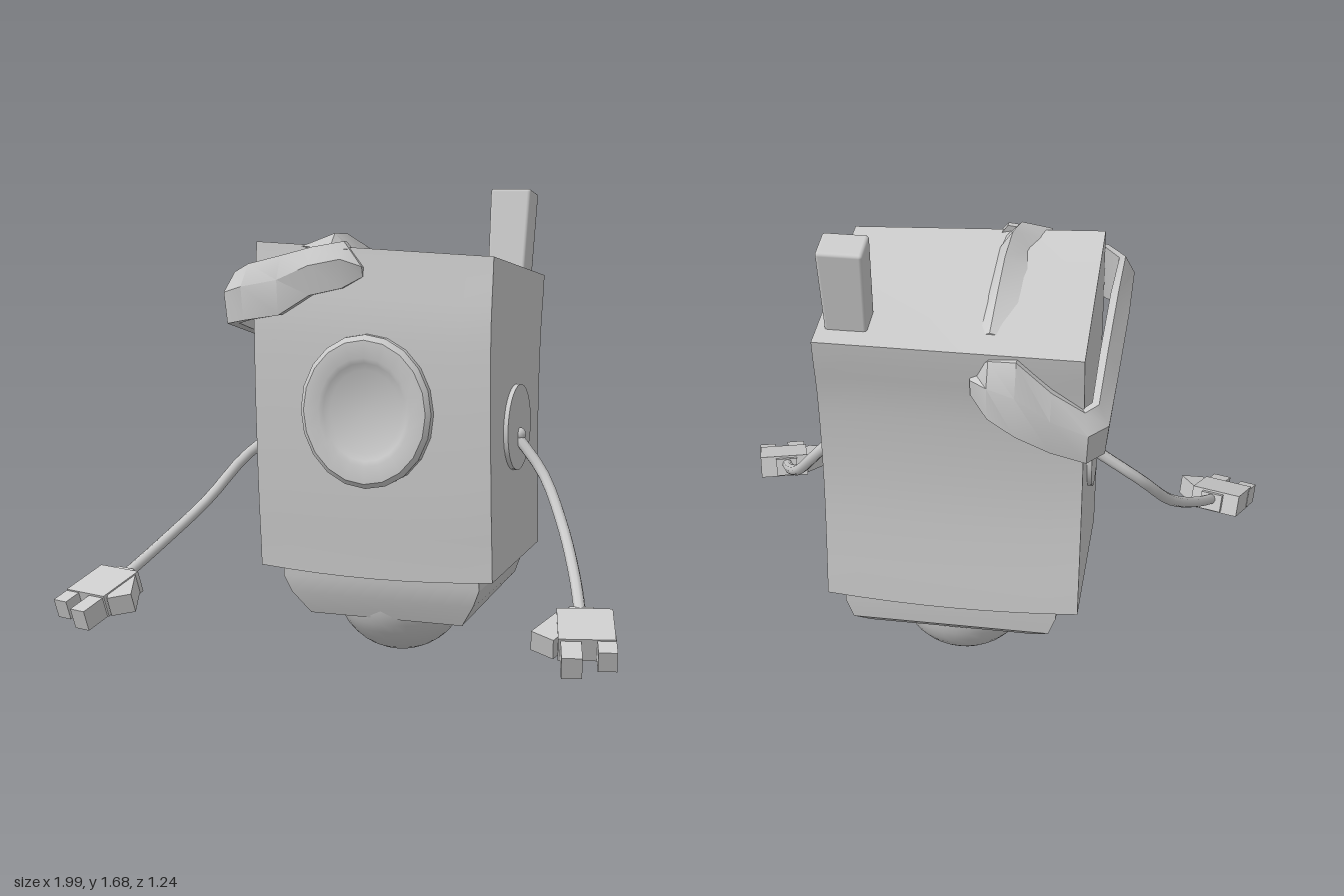
import * as THREE from 'three';
import { toCreasedNormals } from 'three/addons/utils/BufferGeometryUtils.js';
import { RoundedBoxGeometry } from 'three/addons/geometries/RoundedBoxGeometry.js';

const CX = 0.03; // middle of the body
const grey = new THREE.MeshStandardMaterial({ color: 0xcccccc });
const greyDouble = new THREE.MeshStandardMaterial({ color: 0xcccccc, side: THREE.DoubleSide });

function add(parent, name, geometry, position = [0, 0, 0], material = grey) {
  const mesh = new THREE.Mesh(geometry, material);
  mesh.name = name;
  mesh.position.set(...position);
  parent.add(mesh);
  return mesh;
}

// Skin a row of equal-sized point rings and cap both ends
function loft(rings, crease) {
  const n = rings[0].length, index = [];
  for (let i = 0; i < rings.length - 1; i++) {
    for (let j = 0; j < n; j++) {
      const a = i * n + j, b = i * n + (j + 1) % n;
      index.push(a, a + n, b, b, a + n, b + n);
    }
  }
  const last = (rings.length - 1) * n;
  for (let j = 1; j < n - 1; j++) index.push(0, j, j + 1, last, last + j + 1, last + j);
  const g = new THREE.BufferGeometry();
  g.setAttribute('position', new THREE.Float32BufferAttribute(rings.flat(2), 3));
  g.setIndex(index);
  return toCreasedNormals(g, crease);
}

// Height of the sloping lid
function topY(x, z) {
  const t = (z + 0.57) / 0.675;
  return THREE.MathUtils.lerp(1.36, 1.475 - 0.047 * (x - CX), t);
}

// Box whose front bulges and back curves inward
function bodyGeometry() {
  const curve = (zs) => new THREE.SplineCurve(zs.map((z, i) => new THREE.Vector2(i, z)));
  const front = curve([0.085, 0.105, 0.12, 0.13, 0.13, 0.105]);
  const back = curve([-0.53, -0.515, -0.505, -0.51, -0.53, -0.57]);
  const g = new THREE.BoxGeometry(0.86, 1, 1, 8, 15, 4);
  const p = g.attributes.position;
  for (let i = 0; i < p.count; i++) {
    const t = p.getY(i) + 0.5, x = p.getX(i) + CX, w = p.getZ(i) + 0.5;
    const z = THREE.MathUtils.lerp(back.getPoint(t).y, front.getPoint(t).y, w);
    const sag = 0.02 * (1 - (p.getX(i) / 0.43) ** 2);
    const bottom = THREE.MathUtils.lerp(0.365, 0.34, w) - sag;
    const top = topY(x, THREE.MathUtils.lerp(-0.57, 0.105, w));
    p.setXYZ(i, x, THREE.MathUtils.lerp(bottom, top, t), z);
  }
  g.computeVertexNormals();
  return g;
}

// Tapered skirt: front height, back height, x range, z range
function baseGeometry() {
  const rows = [
    [0.37, 0.39, -0.325, 0.405, 0.065, -0.505],
    [0.30, 0.32, -0.325, 0.405, 0.06, -0.505],
    [0.24, 0.25, -0.30, 0.38, 0.045, -0.50],
    [0.16, 0.215, -0.24, 0.33, 0.01, -0.465],
  ];
  return loft(rows.map(([yf, yb, x0, x1, zf, zb]) =>
    [[x1, yf, zf], [x1, yb, zb], [x0, yb, zb], [x0, yf, zf]]), 0.3);
}

// Cloth band around one upper corner: x, z, outward x, outward z, top, bottom
function bandGeometry() {
  const rows = [
    [0, 0.13, 0, 1, 1.41, 1.38],
    [-0.07, 0.155, 0, 1, 1.50, 1.34],
    [-0.18, 0.175, 0, 1, 1.48, 1.315],
    [-0.29, 0.19, 0, 1, 1.45, 1.245],
    [-0.42, 0.20, -0.3, 1, 1.42, 1.225],
    [-0.50, 0.165, -0.8, 0.6, 1.39, 1.21],
    [-0.50, -0.05, -1, 0, 1.34, 1.16],
    [-0.49, -0.30, -1, 0, 1.25, 1.08],
    [-0.48, -0.53, -0.9, -0.4, 1.18, 1.01],
    [-0.42, -0.59, -0.4, -0.9, 1.17, 1.0],
    [-0.30, -0.61, 0, -1, 1.24, 1.04],
    [-0.19, -0.63, 0, -1, 1.35, 1.1],
    [-0.10, -0.615, 0, -1, 1.34, 1.15],
    [-0.04, -0.56, 0, -1, 1.28, 1.2],
  ];
  return loft(rows.map(([x, z, nx, nz, top, bottom]) => {
    const at = (depth, y) => [x - nx * depth, y, z - nz * depth];
    const mid = (top + bottom) / 2;
    return [at(0.04, top), at(0, mid + 0.02), at(0.012, bottom), at(0.055, bottom), at(0.065, top)];
  }), 0.6);
}

// Folded cloth ridge across the lid: z, left x, ridge x, right x, height
function ridgeGeometry() {
  const rows = [
    [0.13, -0.22, -0.12, -0.05, -0.02],
    [0.07, -0.20, -0.12, -0.06, 0.05],
    [0.0, -0.165, -0.10, -0.05, 0.06],
    [-0.12, -0.18, -0.09, -0.05, 0.045],
    [-0.30, -0.18, -0.09, -0.05, 0.03],
    [-0.47, -0.155, -0.09, -0.05, 0.005],
  ];
  return loft(rows.map(([z, xl, xm, xr, h]) => [
    [xr, topY(xr, z) - 0.01, z], [xm, topY(xm, z) + h, z], [xl, topY(xl, z) - 0.01, z],
  ]), 0.5);
}

// Blocky hand: palm, two fingers and an angled inner thumb
function makeHand(side) {
  const hand = new THREE.Group();
  hand.name = 'hand';
  const box = (w, h, l) => new THREE.BoxGeometry(w, h, l);
  add(hand, 'wrist', box(0.08, 0.065, 0.06), [0, 0, 0]);
  add(hand, 'palm', box(0.18, 0.08, 0.18), [side * 0.01, 0, 0.08]);
  add(hand, 'outerFinger', box(0.06, 0.07, 0.1), [side * 0.072, 0, 0.185]);
  add(hand, 'innerFinger', box(0.065, 0.075, 0.13), [side * -0.04, -0.005, 0.2]);
  const thumb = add(hand, 'thumb', box(0.085, 0.07, 0.15), [side * -0.085, 0, 0.085]);
  thumb.rotation.y = -side * 0.63;
  hand.position.set(side * 0.83, 0.305, 0.335);
  hand.rotation.set(0.32, side * 0.28, 0, 'YXZ');
  return hand;
}

// Shoulder disc, bent thin arm and hand
function makeArm(side) {
  const arm = new THREE.Group();
  arm.name = side > 0 ? 'leftArm' : 'rightArm';
  const face = CX + side * 0.43;
  const disc = add(arm, 'shoulderDisc', new THREE.CylinderGeometry(0.152, 0.152, 0.04, 32), [face - side * 0.004, 0.845, -0.187]);
  disc.rotation.z = Math.PI / 2;
  const points = [
    [face, 0.82, -0.19], [side * 0.57, 0.69, -0.16], [side * 0.67, 0.54, -0.04],
    [side * 0.765, 0.405, 0.16], [side * 0.83, 0.31, 0.34],
  ].map((p) => new THREE.Vector3(...p));
  add(arm, 'armTube', new THREE.TubeGeometry(new THREE.CatmullRomCurve3(points), 14, 0.02, 8));
  add(arm, 'shoulderJoint', new THREE.SphereGeometry(0.024, 10, 8), [face + side * 0.015, 0.82, -0.19]);
  arm.add(makeHand(side));
  return arm;
}

export function createModel() {
  const model = new THREE.Group();
  model.name = 'robot';

  add(model, 'body', bodyGeometry());
  add(model, 'base', baseGeometry());
  add(model, 'rollerBall', new THREE.SphereGeometry(0.245, 32, 20), [CX, 0.245, -0.215]);

  // Oval porthole with a raised rim
  const profile = [[0.238, 0], [0.238, 0.04], [0.222, 0.055], [0.168, 0.055], [0.152, 0.048], [0.13, 0.036], [0, 0.036]];
  const porthole = add(model, 'porthole', toCreasedNormals(
    new THREE.LatheGeometry(profile.map((p) => new THREE.Vector2(...p)), 20), 0.6), [0.022, 0.92, 0.115]);
  porthole.rotation.x = Math.PI / 2;
  porthole.scale.z = 1.12;

  // Leaning chimney, slightly wider at the top
  const pipe = new RoundedBoxGeometry(0.15, 0.32, 0.12, 2, 0.012);
  const p = pipe.attributes.position;
  for (let i = 0; i < p.count; i++) p.setX(i, p.getX(i) * (0.95 + p.getY(i) * 0.3));
  add(model, 'chimney', pipe, [0.365, 1.51, -0.462]).rotation.x = -0.18;

  add(model, 'clothBand', bandGeometry(), [0, 0, 0], greyDouble);
  add(model, 'clothRidge', ridgeGeometry(), [0, 0, 0], greyDouble);

  for (const side of [1, -1]) model.add(makeArm(side));
  return model;
}
